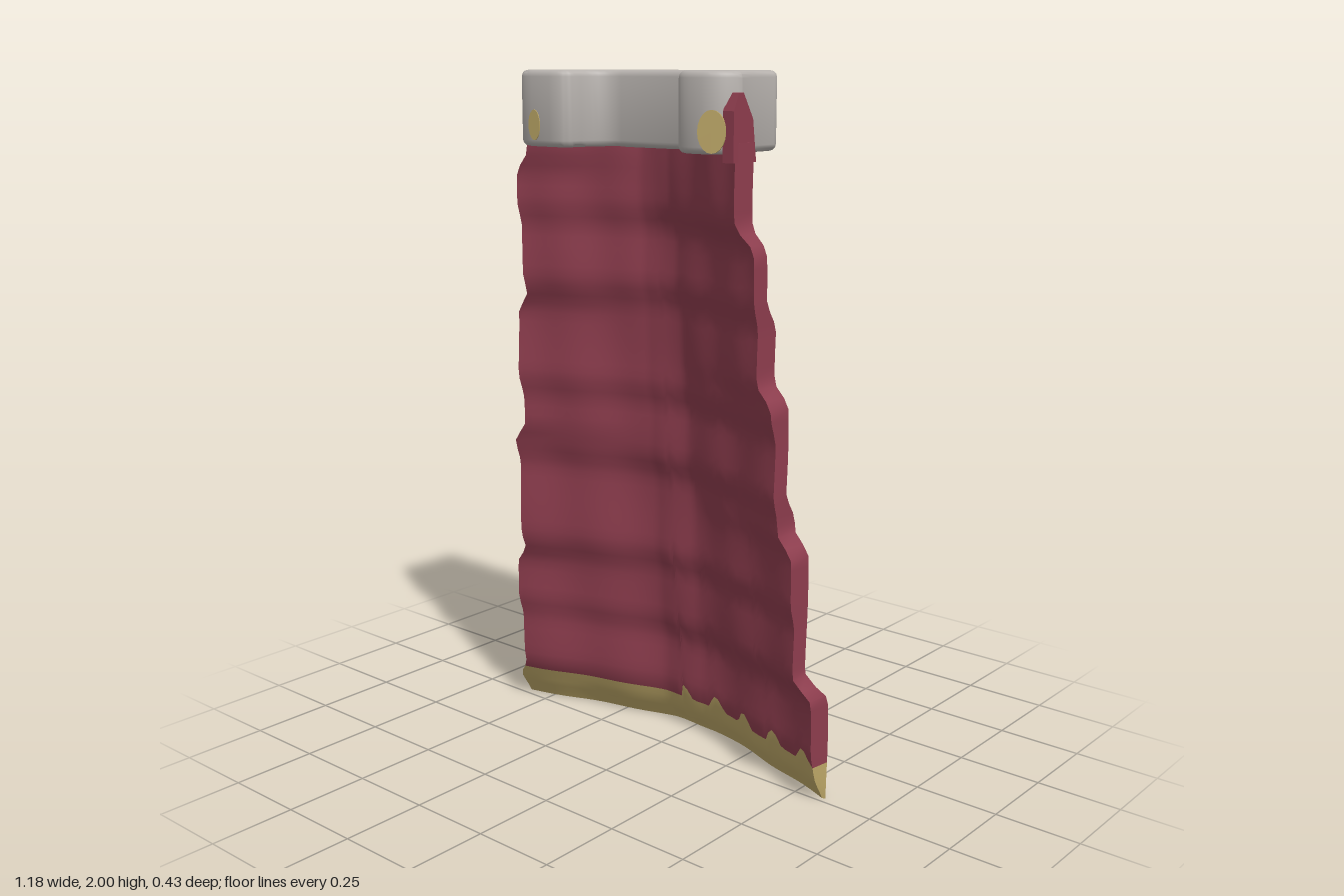
import * as THREE from 'three';
import { toCreasedNormals } from 'three/addons/utils/BufferGeometryUtils.js';

const material = (name, color) => {
  const m = new THREE.MeshStandardMaterial({ color });
  m.name = name;
  return m;
};

// Smooth staircase: flat treads with a soft rise just before each whole number
const stair = (u) => Math.floor(u) + THREE.MathUtils.smoothstep(u - Math.floor(u), 0.82, 1);

const TOP = 1.82, COLS = 72, HEM_ROWS = 5, ROWS = 64;

// One point on the cloth: t runs -1..1 across, front picks the side, row runs upward
function clothPoint(t, front, row) {
  const scallop = front && t < -0.02 ? 0 : Math.max(0, Math.cos(t * 0.59 * Math.PI * 2 / 0.137));
  const hemTop = 0.11 + 0.045 * scallop;
  const y = row <= HEM_ROWS
    ? hemTop * row / HEM_ROWS
    : hemTop + (TOP - hemTop) * (row - HEM_ROWS) / (ROWS - HEM_ROWS);

  // The two side edges narrow in staggered steps
  const w = t > 0
    ? 0.59 - 0.047 * stair((y - 0.38) / 0.41 + 1)
    : 0.595 - 0.047 * stair((y - 0.14) / 0.41 + 1);
  const a = Math.abs(t);
  const bow = 0.18 * Math.pow(Math.max(0, a - 0.13) / 0.87, 1.2);
  const backStep = stair((y - 0.38) / 0.52 + 1);
  const frontStep = stair((y - 0.6) / 0.52 + 1);
  const ripple = 0.004 * Math.sin(t * 13 + y * 3) + 0.003 * Math.sin(y * 15 + t * 2);

  let z = -0.205 + bow + ripple;
  if (front) {
    z += 0.0225 * (backStep + frontStep) + 0.1 - 0.03 * a * a;
    z -= 0.045 * Math.max(0, 1 - y / 0.15);
  } else {
    z += 0.045 * backStep;
  }
  return [t * w * (front ? 0.985 : 1), y, z];
}

// Closed cloth shell lofted from rings, with the hem as its own colour group
function capeGeometry() {
  const ring = 2 * (COLS + 1);
  const positions = [], index = [];
  for (let j = 0; j <= ROWS; j++) {
    for (let i = 0; i < ring; i++) {
      const front = i > COLS;
      const k = front ? ring - 1 - i : i;
      positions.push(...clothPoint(1 - 2 * k / COLS, front, j));
    }
  }
  const cap = (row, up) => {
    for (let i = 0; i < COLS; i++) {
      const a = row * ring + i, b = a + 1;
      const d = row * ring + ring - 1 - i, c = d - 1;
      if (up) index.push(a, b, c, a, c, d);
      else index.push(a, c, b, a, d, c);
    }
  };
  const wall = (from, to) => {
    for (let j = from; j < to; j++) {
      for (let i = 0; i < ring; i++) {
        const a = j * ring + i, b = j * ring + (i + 1) % ring;
        index.push(a, b, b + ring, a, b + ring, a + ring);
      }
    }
  };
  cap(0, false);
  wall(0, HEM_ROWS);
  const hemCount = index.length;
  wall(HEM_ROWS, ROWS);
  cap(ROWS, true);

  const g = new THREE.BufferGeometry();
  g.setAttribute('position', new THREE.Float32BufferAttribute(positions, 3));
  g.setIndex(index);
  g.addGroup(0, hemCount, 0);
  g.addGroup(hemCount, index.length - hemCount, 1);
  return toCreasedNormals(g, 0.9);
}

// U-shaped collar seen from above, extruded downward with soft edges
function collarGeometry() {
  const s = new THREE.Shape();
  s.moveTo(-0.33, -0.07);
  s.lineTo(0.33, -0.07);
  s.quadraticCurveTo(0.352, -0.07, 0.352, -0.045);
  s.lineTo(0.355, 0.05);
  s.lineTo(0.388, 0.14);
  s.quadraticCurveTo(0.365, 0.2, 0.31, 0.207);
  s.quadraticCurveTo(0.215, 0.215, 0.212, 0.17);
  s.quadraticCurveTo(0.2, 0.07, 0.13, 0.068);
  s.lineTo(-0.09, 0.068);
  s.quadraticCurveTo(-0.165, 0.075, -0.17, 0.17);
  s.quadraticCurveTo(-0.175, 0.205, -0.23, 0.209);
  s.lineTo(-0.3, 0.207);
  s.quadraticCurveTo(-0.365, 0.2, -0.365, 0.17);
  s.lineTo(-0.355, 0.0);
  s.lineTo(-0.355, -0.045);
  s.quadraticCurveTo(-0.355, -0.07, -0.33, -0.07);
  const b = 0.018;
  const g = new THREE.ExtrudeGeometry(s, {
    depth: 0.21 - 2 * b, bevelEnabled: true, bevelThickness: b, bevelSize: b,
    bevelOffset: -b, bevelSegments: 3, curveSegments: 8,
  });
  g.rotateX(Math.PI / 2);
  g.translate(0, 2 - b, 0);
  g.deleteAttribute('uv');
  return toCreasedNormals(g, 0.8);
}

export function createModel() {
  const red = material('wine red cloth', 0x8e3d4e);
  const gold = material('gold trim', 0xbea868);
  const grey = material('pale grey collar', 0xb6b1ad);
  const model = new THREE.Group();
  model.name = 'cape';
  const add = (name, geometry, mat) => {
    const mesh = new THREE.Mesh(geometry, mat);
    mesh.name = name;
    model.add(mesh);
    return mesh;
  };

  add('clothAndHem', capeGeometry(), [gold, red]);
  add('collar', collarGeometry(), grey);

  // Cloth tongue climbing the left collar arm, drawn in z and y
  const tongue = new THREE.Shape([
    [0.09, 1.77], [0.185, 1.77], [0.185, 1.9], [0.165, 1.945], [0.145, 1.945], [0.105, 1.88],
  ].map(([z, y]) => new THREE.Vector2(-z, y)));
  const tongueGeo = new THREE.ExtrudeGeometry(tongue, { depth: 0.035, bevelEnabled: false });
  tongueGeo.rotateY(Math.PI / 2);
  tongueGeo.translate(0.362, 0, 0);
  add('clothTongue', tongueGeo, red);

  // Small clasps on the front of the collar arms
  const clasp = (name, x, y, z, rx, ry, turn) => {
    const g = new THREE.CylinderGeometry(1, 1, 0.008, 20);
    g.rotateX(Math.PI / 2);
    g.scale(rx, ry, 1);
    const mesh = add(name, g, gold);
    mesh.position.set(x, y, z);
    mesh.rotation.y = turn;
  };
  clasp('rightClasp', -0.29, 1.85, 0.206, 0.022, 0.042, 0);
  clasp('leftClasp', 0.338, 1.848, 0.2, 0.038, 0.055, 0.4);
  return model;
}
